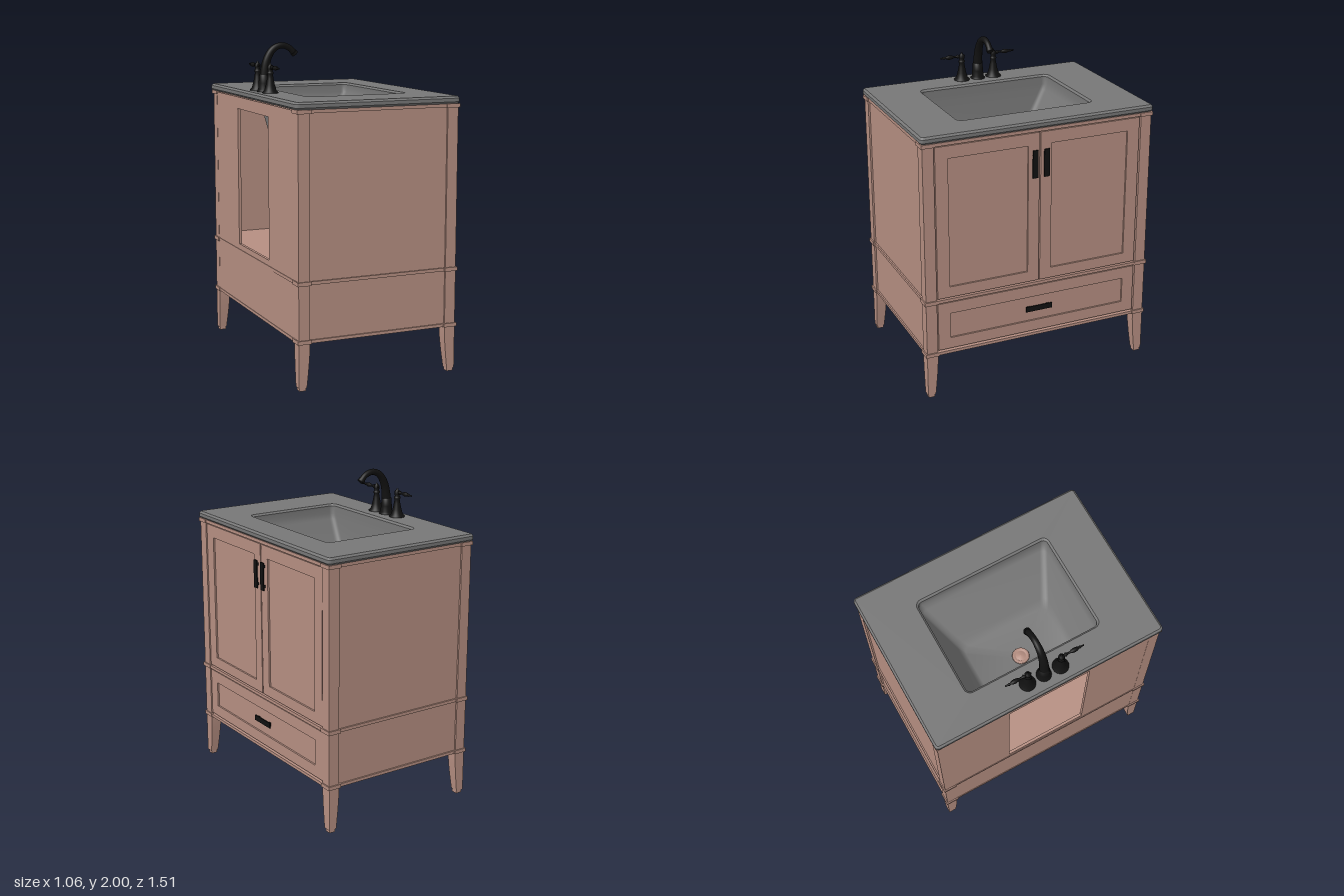
import * as THREE from 'three';

const wood = new THREE.MeshStandardMaterial({ color: 0xb68f82 });
const stone = new THREE.MeshStandardMaterial({ color: 0x777777, side: THREE.DoubleSide });
const black = new THREE.MeshStandardMaterial({ color: 0x111111 });

export function createModel() {
  const root = new THREE.Group();
  const add = (name, geo, mat, parent = root) => {
    const m = new THREE.Mesh(geo, mat);
    m.name = name;
    parent.add(m);
    return m;
  };
  // Box from its limits
  const box = (name, mat, x0, x1, y0, y1, z0, z1) =>
    add(name, new THREE.BoxGeometry(x1 - x0, y1 - y0, z1 - z0)
      .translate((x0 + x1) / 2, (y0 + y1) / 2, (z0 + z1) / 2), mat);
  const rect = (C, x0, x1, y0, y1) => new C([[x0, y0], [x1, y0], [x1, y1], [x0, y1]].map(p => new THREE.Vector2(...p)));
  // Upright plate in the zy plane with a rectangular hole; outer and hole are [z0, z1, y0, y1]
  const frame = (name, x0, x1, o, h) => {
    const s = rect(THREE.Shape, -o[1], -o[0], o[2], o[3]);
    s.holes.push(rect(THREE.Path, -h[1], -h[0], h[2], h[3]));
    const g = new THREE.ExtrudeGeometry(s, { depth: x1 - x0, bevelEnabled: false });
    return add(name, g.rotateY(Math.PI / 2).translate(x0, 0, 0), wood);
  };
  // Points of a rounded rectangle, anticlockwise
  const roundRect = (x0, x1, y0, y1, r, n = 5) => {
    const pts = [];
    [[x1 - r, y1 - r], [x0 + r, y1 - r], [x0 + r, y0 + r], [x1 - r, y0 + r]].forEach(([cx, cy], k) => {
      for (let i = 0; i <= n; i++) {
        const a = (k + i / n) * Math.PI / 2;
        pts.push(new THREE.Vector2(cx + r * Math.cos(a), cy + r * Math.sin(a)));
      }
    });
    return pts;
  };

  // Carcass
  for (const s of [-1, 1]) {
    const side = (name, a, b, y0, y1, x0 = -0.5, x1 = 0.49) =>
      box(name, wood, x0, x1, y0, y1, Math.min(s * a, s * b), Math.max(s * a, s * b));
    side('sidePanel', 0.715, 0.735, 0.3, 1.645);
    side('topMouldingSide', 0.72, 0.745, 1.632, 1.652);
  }
  box('frontBacking', wood, 0.47, 0.492, 0.3, 1.645, -0.72, 0.72);
  box('topMouldingFront', wood, 0.47, 0.519, 1.632, 1.652, -0.7, 0.7);
  box('bottomMoulding', wood, -0.518, 0.519, 0.286, 0.305, -0.745, 0.745);
  box('middleMoulding', wood, -0.518, 0.519, 0.635, 0.655, -0.745, 0.745);
  box('cabinetFloor', wood, -0.5, 0.48, 0.655, 0.68, -0.72, 0.72);
  frame('backPanel', -0.515, -0.497, [-0.735, 0.735, 0.3, 1.645], [-0.27, 0.27, 0.69, 1.57]);

  // Corner posts with moulding caps, tapered legs and feet
  for (const sx of [-1, 1]) for (const sz of [-1, 1]) {
    const px = sx * 0.481, pz = sz * 0.711;
    const block = (name, w, y0, y1) =>
      box(name, wood, px - w / 2, px + w / 2, y0, y1, pz - w / 2, pz + w / 2);
    block('cornerPost', 0.07, 0.29, 1.65);
    block('postCapTop', 0.086, 1.63, 1.653);
    block('postCapMiddle', 0.086, 0.633, 0.657);
    block('postCapBottom', 0.086, 0.284, 0.307);
    const g = new THREE.BoxGeometry(0.07, 0.27, 0.07, 1, 6, 1).translate(0, 0.155, 0);
    const p = g.attributes.position;
    for (let i = 0; i < p.count; i++) {
      // Only the inner faces curve in toward the floor
      const t = THREE.MathUtils.clamp((0.25 - p.getY(i)) / 0.23, 0, 1);
      const inset = 0.02 * Math.pow(t, 1.3);
      if (p.getX(i) * sx < 0) p.setX(i, p.getX(i) + sx * inset);
      if (p.getZ(i) * sz < 0) p.setZ(i, p.getZ(i) + sz * inset);
    }
    g.computeVertexNormals();
    add('leg', g.translate(px, 0, pz), wood);
    const fx = px + sx * 0.009, fz = pz + sz * 0.009;
    box('foot', wood, fx - 0.02, fx + 0.02, 0, 0.021, fz - 0.02, fz + 0.02);
  }

  // Doors and drawer front with recessed panels
  for (const s of [-1, 1]) {
    const span = (a, b) => (s > 0 ? [a, b] : [-b, -a]);
    frame('doorFrame', 0.49, 0.512, [...span(0.004, 0.668), 0.662, 1.625], [...span(0.077, 0.588), 0.73, 1.547]);
    box('doorPanel', wood, 0.485, 0.501, 0.72, 1.555, ...span(0.07, 0.595));
    box('doorHandleBar', black, 0.523, 0.53, 1.345, 1.52, ...span(0.02, 0.055));
    for (const y of [1.37, 1.495]) box('doorHandlePost', black, 0.505, 0.525, y - 0.008, y + 0.008, ...span(0.025, 0.05));
  }
  frame('drawerFrame', 0.49, 0.512, [-0.668, 0.668, 0.316, 0.627], [-0.59, 0.59, 0.387, 0.552]);
  box('drawerPanel', wood, 0.485, 0.501, 0.38, 0.56, -0.6, 0.6);
  box('drawerHandleBar', black, 0.514, 0.521, 0.455, 0.489, -0.088, 0.088);
  for (const z of [-0.065, 0.065]) box('drawerHandlePost', black, 0.498, 0.516, 0.46, 0.484, z - 0.008, z + 0.008);

  // Countertop with basin opening
  const top = new THREE.Shape(roundRect(-0.533, 0.527, -0.757, 0.757, 0.025));
  top.holes.push(new THREE.Path(roundRect(-0.32, 0.314, -0.437, 0.437, 0.03).reverse()));
  const topGeo = new THREE.ExtrudeGeometry(top, {
    depth: 0.021, bevelThickness: 0.012, bevelSize: 0.012, bevelOffset: -0.012, bevelSegments: 1,
  });
  add('countertop', topGeo.rotateX(-Math.PI / 2).translate(0, 1.664, 0), stone);

  // Basin: lofted rounded rectangles, steep at the back and sloping elsewhere
  const rings = [
    [1.675, -0.32, 0.314, 0.437, 0.03], [1.635, -0.319, 0.312, 0.435, 0.03],
    [1.6, -0.317, 0.29, 0.423, 0.035], [1.41, -0.3, 0.085, 0.318, 0.04],
    [1.375, -0.28, 0.04, 0.285, 0.04], [1.365, -0.2, -0.13, 0.05, 0.03],
  ];
  const pos = [], idx = [], n = 24;
  for (const [y, x0, x1, z, r] of rings) for (const p of roundRect(x0, x1, -z, z, r)) pos.push(p.x, y, -p.y);
  for (let j = 0; j < rings.length - 1; j++) for (let i = 0; i < n; i++) {
    const a = j * n + i, b = j * n + (i + 1) % n;
    idx.push(a, b, a + n, b, b + n, a + n);
  }
  const c = pos.length / 3;
  pos.push(-0.165, 1.364, 0);
  for (let i = 0; i < n; i++) idx.push(c - n + i, c - n + (i + 1) % n, c);
  const basin = new THREE.BufferGeometry();
  basin.setAttribute('position', new THREE.Float32BufferAttribute(pos, 3));
  basin.setIndex(idx);
  basin.computeVertexNormals();
  add('basin', basin, stone);

  // Drain
  const lathe = (pts, seg = 28) => new THREE.LatheGeometry(pts.map(p => new THREE.Vector2(...p)), seg);
  add('drain', lathe([[0.03, 1.33], [0.053, 1.372], [0.05, 1.38], [0.035, 1.378], [0.03, 1.372], [0.028, 1.38], [0, 1.384]])
    .translate(-0.17, 0, 0), wood);

  // Spout: flared base and a tapering gooseneck
  add('spoutBase', lathe([[0.046, 1.695], [0.046, 1.702], [0.038, 1.712], [0.035, 1.75], [0.031, 1.8], [0, 1.8]])
    .translate(-0.435, 0, 0), black);
  const path = new THREE.CatmullRomCurve3([[-0.437, 1.7], [-0.433, 1.8], [-0.415, 1.895], [-0.375, 1.957],
    [-0.32, 1.979], [-0.268, 1.963], [-0.232, 1.927]].map(([x, y]) => new THREE.Vector3(x, y, 0)));
  const seg = 40, rad = 16;
  const spout = new THREE.TubeGeometry(path, seg, 0.034, rad);
  const sp = spout.attributes.position, v = new THREE.Vector3();
  for (let i = 0; i < sp.count; i++) {
    const t = Math.floor(i / (rad + 1)) / seg, o = path.getPointAt(t);
    v.fromBufferAttribute(sp, i).sub(o).multiplyScalar(1 - 0.45 * Math.min(1, t * 1.3)).add(o);
    sp.setXYZ(i, v.x, v.y, v.z);
  }
  add('spout', spout, black);
  const tip = add('spoutTip', new THREE.CylinderGeometry(0.022, 0.022, 0.018, 20), black);
  tip.position.copy(path.getPointAt(0.99));
  tip.quaternion.setFromUnitVectors(new THREE.Vector3(0, 1, 0), path.getTangentAt(1));

  // Tap handles: bell base, knob and turned lever pointing outward
  for (const s of [-1, 1]) {
    const tap = new THREE.Group();
    tap.name = 'tapHandle';
    tap.position.set(-0.437, 0, s * 0.11);
    root.add(tap);
    add('tapBase', lathe([[0.05, 1.695], [0.05, 1.702], [0.038, 1.713], [0.028, 1.745], [0.02, 1.785], [0.016, 1.81],
      [0.021, 1.815], [0.021, 1.823], [0.014, 1.829], [0.018, 1.842], [0.019, 1.855], [0.013, 1.866], [0.005, 1.87],
      [0.006, 1.876], [0, 1.88]]), black, tap);
    const lever = lathe([[0, -0.022], [0.008, -0.018], [0.008, 0.02], [0.013, 0.027], [0.007, 0.035], [0.006, 0.055],
      [0.011, 0.066], [0.014, 0.085], [0.012, 0.1], [0.006, 0.113], [0.009, 0.12], [0.005, 0.13], [0.005, 0.145], [0, 0.148]], 16);
    add('tapLever', lever.rotateX(s * Math.PI / 2).translate(0, 1.853, 0), black, tap);
  }
  return root;
}
